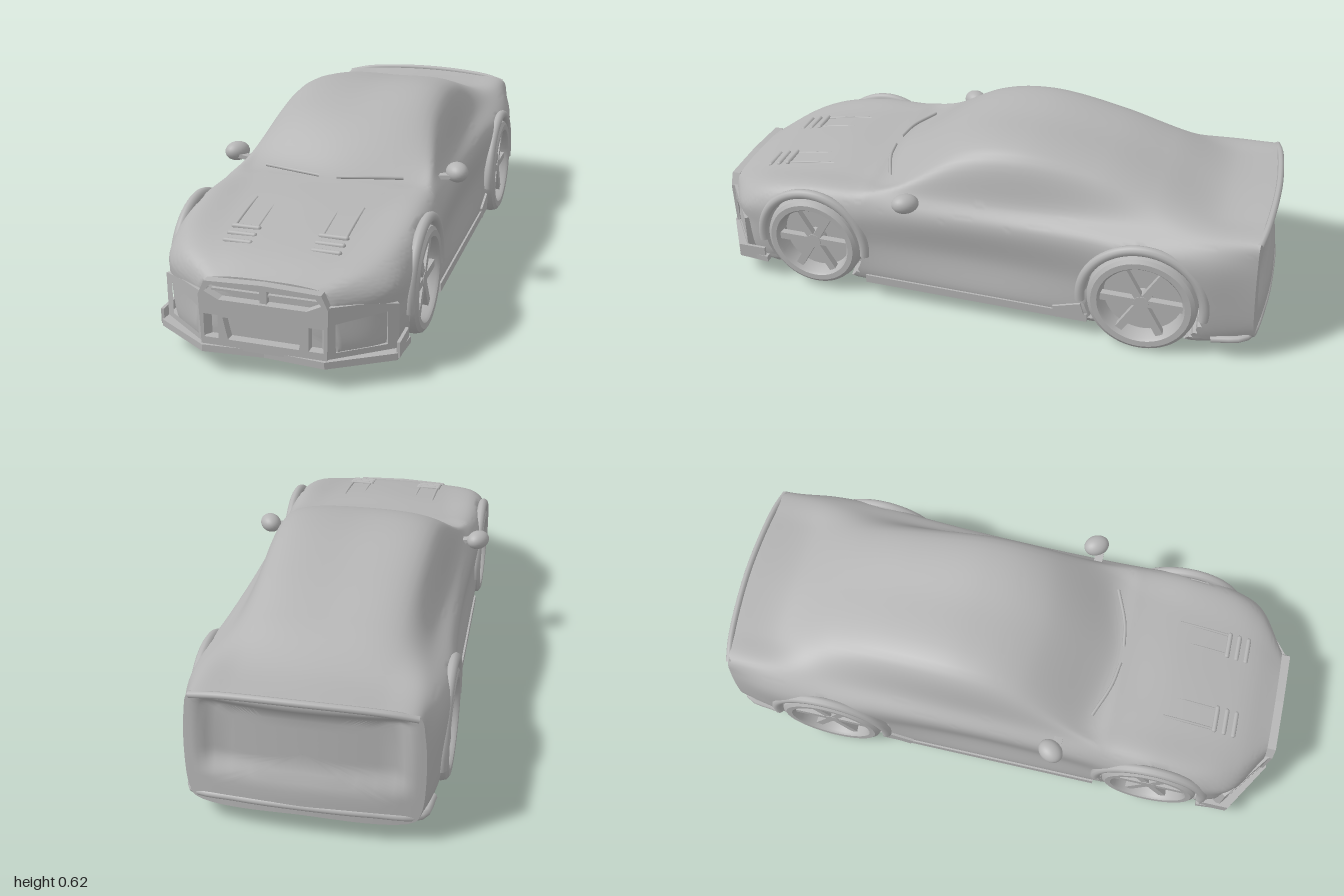
import * as THREE from 'three';
import { mergeVertices, toCreasedNormals } from 'three/addons/utils/BufferGeometryUtils.js';

const V = (x, y, z) => new THREE.Vector3(x, y, z);
const clay = new THREE.MeshStandardMaterial({ color: 0xb4b4b4 });
clay.name = 'light grey';

const WHEELS = [
  { name: 'front', z: 0.58, y: 0.195, r: 0.172, x: 0.333 },
  { name: 'rear', z: -0.595, y: 0.185, r: 0.185, x: 0.347 },
];

// z, floor edge x y, mid side x, shoulder x y, belt x y, roof or hood edge x y, centre top y
const STATIONS = [
  [0.96, 0.20, 0.085, 0.205, 0.205, 0.262, 0.185, 0.288, 0.12, 0.302, 0.306],
  [0.86, 0.315, 0.07, 0.345, 0.348, 0.285, 0.30, 0.332, 0.17, 0.346, 0.350],
  [0.76, 0.35, 0.065, 0.385, 0.38, 0.315, 0.335, 0.368, 0.20, 0.372, 0.376],
  [0.58, 0.36, 0.06, 0.398, 0.392, 0.345, 0.345, 0.402, 0.22, 0.402, 0.409],
  [0.41, 0.36, 0.058, 0.382, 0.383, 0.345, 0.345, 0.406, 0.24, 0.416, 0.421],
  [0.36, 0.36, 0.056, 0.376, 0.380, 0.348, 0.342, 0.413, 0.285, 0.424, 0.430],
  [0.10, 0.36, 0.054, 0.364, 0.374, 0.36, 0.333, 0.426, 0.264, 0.563, 0.577],
  [-0.13, 0.36, 0.052, 0.364, 0.374, 0.37, 0.328, 0.432, 0.257, 0.594, 0.612],
  [-0.40, 0.36, 0.05, 0.378, 0.382, 0.38, 0.322, 0.438, 0.24, 0.561, 0.580],
  [-0.60, 0.36, 0.048, 0.405, 0.400, 0.375, 0.325, 0.442, 0.228, 0.511, 0.527],
  [-0.80, 0.36, 0.05, 0.396, 0.390, 0.385, 0.335, 0.447, 0.22, 0.456, 0.466],
  [-0.94, 0.335, 0.085, 0.365, 0.358, 0.38, 0.34, 0.447, 0.22, 0.463, 0.470],
];

const smooth = (v, a, b) => THREE.MathUtils.smoothstep(v, a, b);

// Body shell: smooth rings lofted from nose to tail, then shaped by rules
function bodyGeometry() {
  const half = STATIONS.map(([z, ax, ay, cx, dx, dy, ex, ey, fx, fy, gy]) => [
    V(0, ay, z), V(ax, ay, z), V(ax + 0.02, ay + 0.035, z), V(cx, 0.22, z), V(dx, dy, z), V(ex, ey, z),
    V(fx, fy, z > 0.05 && z < 0.37 ? z - 0.04 : z), V(0, gy, z),
  ]);
  const rails = half[0].map((_, k) => new THREE.CatmullRomCurve3(half.map((row) => row[k]), false, 'centripetal'));
  const rowCount = (STATIONS.length - 1) * 14, cols = 112;
  const rings = [];
  for (let i = 0; i <= rowCount; i++) {
    const pts = rails.map((c) => c.getPoint(i / rowCount));
    const mirrored = pts.slice(1, -1).reverse().map((p) => V(-p.x, p.y, p.z));
    const curve = new THREE.CatmullRomCurve3([...pts, ...mirrored], true, 'centripetal');
    rings.push(Array.from({ length: cols }, (_, j) => curve.getPoint(j / cols)));
  }
  const shrink = (ring, s, cy) => ring.map((p) => V(p.x * s, cy + (p.y - cy) * s, p.z));
  const first = rings[0], last = rings[rowCount];
  // Wheel wells and bowed tail
  for (const ring of rings) for (const p of ring) {
    for (const w of WHEELS) {
      const arch = w.r + 0.014, d = Math.hypot(p.y - w.y, p.z - w.z);
      if (Math.abs(p.x) < 0.27) continue;
      if (d < arch) p.x = Math.sign(p.x) * 0.29;
      else if (d < arch + 0.012) {
        p.y = w.y + (p.y - w.y) * arch / d;
        p.z = w.z + (p.z - w.z) * arch / d;
      }
    }
  }
  const bow = (p) => {
    const k = smooth(-p.z, 0.8, 0.94);
    p.z -= k * (0.035 * (1 - (p.x / 0.37) ** 2) + 0.022 * (0.47 - p.y) / 0.37);
  };
  // Rear panel with a hollow below the deck edge
  const tail = [0.97, 0.93, 0.88, 0.82, 0.75, 0.6, 0.45, 0.3, 0.15, 0.001].map((s) => shrink(last, s, 0.28));
  rings.forEach((r) => r.forEach(bow));
  tail.forEach((r) => r.forEach((p) => {
    bow(p);
    p.z += 0.03 * smooth(p.y, 0.17, 0.25) * (1 - smooth(p.y, 0.41, 0.45)) * (1 - smooth(Math.abs(p.x), 0.27, 0.33));
  }));
  const nose = [0.001, 0.5].map((s) => shrink(first, s, 0.2));
  const all = [...nose, ...rings, ...tail];
  const index = [];
  for (let i = 0; i < all.length - 1; i++) for (let j = 0; j < cols; j++) {
    const a = i * cols + j, b = i * cols + (j + 1) % cols, c = a + cols, d = b + cols;
    index.push(a, c, b, b, c, d);
  }
  const g = new THREE.BufferGeometry();
  g.setAttribute('position', new THREE.Float32BufferAttribute(all.flat().flatMap((p) => [p.x, p.y, p.z]), 3));
  g.setIndex(index);
  return toCreasedNormals(g, 0.7);
}

const polygon = (pts, s = 1) => pts.map(([x, y]) => new THREE.Vector2(x * s, y));
// Flat panel with openings
function panel(outline, holes, depth, s = 1) {
  const shape = new THREE.Shape(polygon(outline, s));
  holes.forEach((h) => shape.holes.push(new THREE.Path(polygon(h, s))));
  return new THREE.ExtrudeGeometry(shape, { depth, bevelEnabled: false });
}
const rect = (x0, y0, x1, y1) => [[x0, y0], [x1, y0], [x1, y1], [x0, y1]];

export function createModel() {
  const car = new THREE.Group();
  car.name = 'sportsCar';
  const add = (name, geo, pos = [0, 0, 0], rot = [0, 0, 0], parent = car) => {
    const m = new THREE.Mesh(geo, clay);
    m.name = name;
    m.position.set(...pos);
    m.rotation.set(...rot);
    parent.add(m);
    return m;
  };
  const tube = (name, pts, r) =>
    add(name, new THREE.TubeGeometry(new THREE.CatmullRomCurve3(pts.map((p) => V(...p))), 32, r, 8));

  add('body', bodyGeometry());

  // Front fascia with grille and lower intakes
  add('frontFascia', panel(
    [[-0.195, 0.085], [0.195, 0.085], [0.2, 0.25], [0.18, 0.295], [0, 0.302], [-0.18, 0.295], [-0.2, 0.25]],
    [[[-0.135, 0.24], [0.135, 0.24], [0.18, 0.262], [0.16, 0.285], [-0.16, 0.285], [-0.18, 0.262]],
      [[-0.11, 0.115], [0.11, 0.115], [0.125, 0.185], [-0.125, 0.185]],
      rect(0.14, 0.115, 0.185, 0.19), rect(-0.185, 0.115, -0.14, 0.19)], 0.03), [0, 0, 0.96]);
  add('grilleBar', new THREE.BoxGeometry(0.33, 0.007, 0.012), [0, 0.263, 0.966]);
  add('grilleCentre', new THREE.BoxGeometry(0.022, 0.044, 0.02), [0, 0.263, 0.97]);

  // Splitter: flat plan shape with small end fins
  const plan = [[0, 0.985], [0.19, 1.0], [0.375, 0.885], [0.385, 0.77], [0.3, 0.77], [0, 0.8]];
  const outline = [...plan, ...plan.slice(1, -1).reverse().map(([x, z]) => [-x, z]), [0, 0.8]].filter(
    (p, i, a) => i === 0 || p[0] !== a[i - 1][0] || p[1] !== a[i - 1][1]);
  const loop = [...plan, ...plan.slice(1, 5).reverse().map(([x, z]) => [-x, z])];
  add('splitter', panel(outline.length > 0 ? loop : outline, [], 0.022), [0, 0.092, 0], [Math.PI / 2, 0, 0]);

  for (const s of [1, -1]) {
    const side = s > 0 ? 'left' : 'right';
    add(side + 'CornerIntake', panel([[0, 0.085], [0.225, 0.08], [0.225, 0.235], [0.12, 0.25], [0, 0.255]],
      [[[0.03, 0.11], [0.19, 0.11], [0.19, 0.215], [0.03, 0.2]]], 0.03, s),
    [s * 0.172, 0, 0.961], [0, s * 0.644, 0]);
    add(side + 'SplitterFin', new THREE.BoxGeometry(0.01, 0.05, 0.1), [s * 0.376, 0.1, 0.83]);

    // Side skirt
    add(side + 'Skirt', new THREE.BoxGeometry(0.03, 0.03, 0.8), [s * 0.372, 0.077, -0.015]);
    add(side + 'SkirtFin', new THREE.BoxGeometry(0.012, 0.045, 0.1), [s * 0.384, 0.098, -0.35], [0.3, 0, 0]);

    // Hood vents
    for (let i = 0; i < 3; i++)
      add(side + 'HoodLouvre', new THREE.CapsuleGeometry(0.009, 0.08, 4, 8),
        [s * 0.14, 0.375 - i * 0.0095, 0.755 + i * 0.035], [0, 0, Math.PI / 2]);
    for (const x of [0.105, 0.178])
      tube(side + 'HoodCrease', [[s * x, 0.402, 0.57], [s * x, 0.391, 0.66], [s * x, 0.376, 0.745]], 0.005);
    tube(side + 'Wiper', [[s * 0.03, 0.43, 0.39], [s * 0.12, 0.433, 0.375], [s * 0.24, 0.427, 0.33]], 0.006);

    // Door mirror: stalk and tapered pod
    add(side + 'MirrorStalk', new THREE.BoxGeometry(0.07, 0.014, 0.03), [s * 0.36, 0.415, 0.235], [0, 0, s * 0.15]);
    const pod = add(side + 'MirrorPod', new THREE.SphereGeometry(1, 24, 16), [s * 0.395, 0.427, 0.218], [0, s * 0.55, s * 0.12]);
    pod.scale.set(0.037, 0.033, 0.046);

    for (const w of WHEELS) {
      // Rounded arch lip
      const lip = add(side + w.name + 'Arch', new THREE.TorusGeometry(w.r + 0.022, 0.017, 10, 48, Math.PI * 1.08),
        [s * (w.x + 0.046), w.y, w.z], [0, Math.PI / 2, 0]);
      lip.geometry.rotateZ(-Math.PI * 0.04);

      // Wheel: tyre with dished rim, hub and spokes
      const wheel = new THREE.Group();
      wheel.name = side + w.name + 'Wheel';
      wheel.position.set(s * w.x, w.y, w.z);
      wheel.rotation.y = s > 0 ? 0 : Math.PI;
      car.add(wheel);
      const profile = [[0, -0.065], [0.9, -0.065], [1, -0.045], [1, 0.036], [0.97, 0.054], [0.9, 0.063],
        [0.79, 0.062], [0.75, 0.053], [0.72, 0.005], [0, 0.005]].map(([r, y]) => new THREE.Vector2(r * w.r, y));
      const tyre = mergeVertices(new THREE.LatheGeometry(profile, 56));
      add('tyre', toCreasedNormals(tyre, 0.6), [0, 0, 0], [0, 0, -Math.PI / 2], wheel);
      add('hub', new THREE.CylinderGeometry(0.026, 0.034, 0.045, 20), [0.025, 0, 0], [0, 0, -Math.PI / 2], wheel);
      for (let i = 0; i < 6; i++) {
        const spoke = new THREE.BoxGeometry(0.024, w.r * 0.72, 0.026);
        spoke.translate(0.034, w.r * 0.39, 0);
        add('spoke', spoke, [0, 0, 0], [i * Math.PI / 3 + Math.PI / 6, 0, 0], wheel);
      }
    }
  }

  // Deck spoiler and lower rear lip
  tube('deckSpoiler', [[-0.338, 0.442, -0.945], [-0.25, 0.46, -0.96], [0, 0.472, -0.974], [0.25, 0.46, -0.96], [0.338, 0.442, -0.945]], 0.011);
  tube('rearLip', [[-0.375, 0.075, -0.83], [-0.352, 0.092, -0.945], [-0.2, 0.105, -0.979], [0, 0.108, -0.988],
    [0.2, 0.105, -0.979], [0.352, 0.092, -0.945], [0.375, 0.075, -0.83]], 0.012);
  return car;
}
